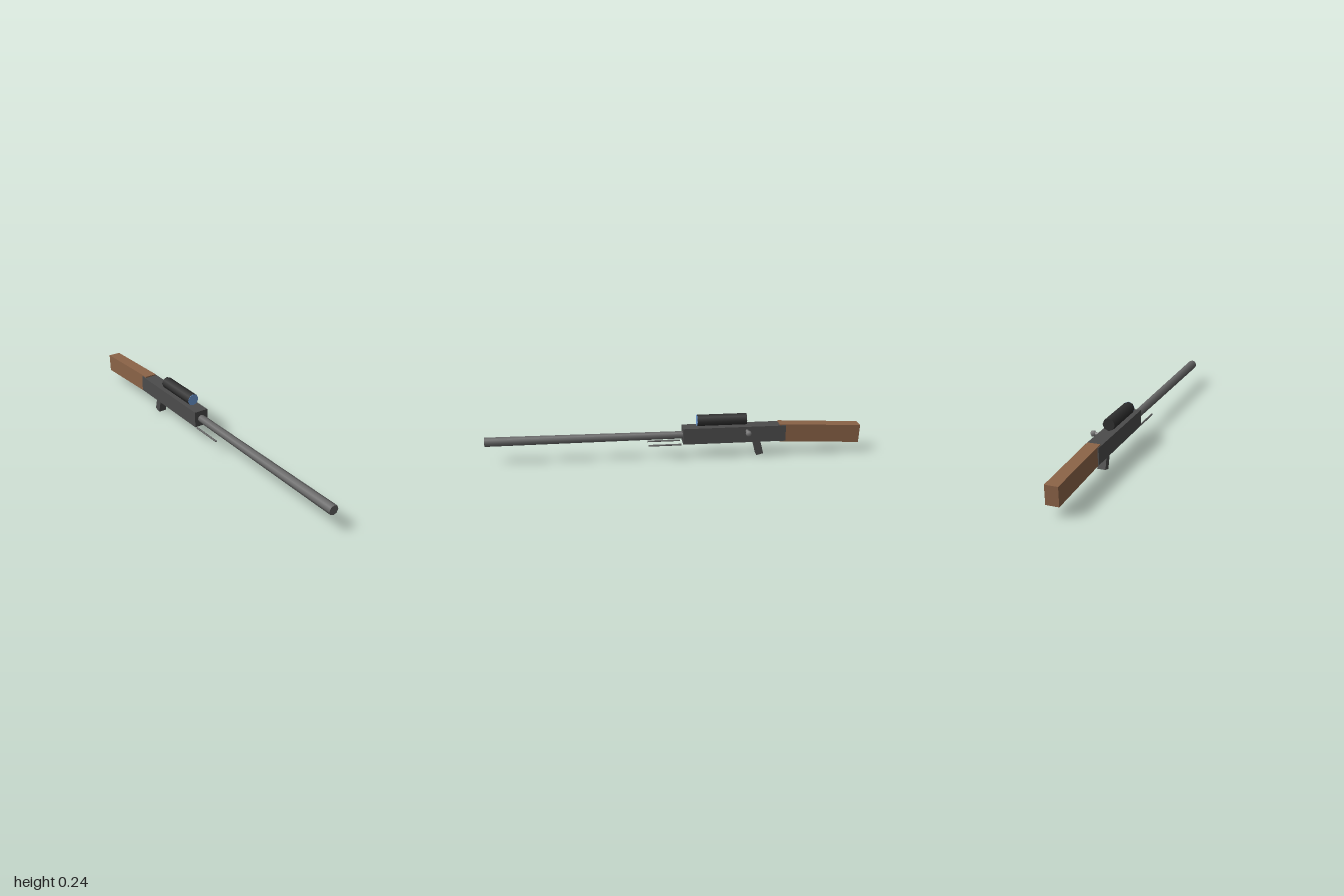
import * as THREE from 'three';

const CX = -0.031; // centre line of the body; the bolt handle sticks out to +x

export function createModel() {
  const model = new THREE.Group();
  const mat = (color) => new THREE.MeshStandardMaterial({ color });
  const steel = mat(0x666666), dark = mat(0x4c4c4c), black = mat(0x2e2e2e);
  const bright = mat(0x777777), wood = mat(0x8b6347), glass = mat(0x6f9fdc);

  const add = (name, geometry, material, x, y, z, tilt = 0) => {
    const mesh = new THREE.Mesh(geometry, material);
    mesh.name = name;
    mesh.position.set(x, y, z);
    mesh.rotation.x = tilt;
    model.add(mesh);
    return mesh;
  };
  // Cylinder lying along z, from back to front
  const rod = (name, material, rFront, rBack, x, y, back, front, sides = 8) =>
    add(name, new THREE.CylinderGeometry(rFront, rBack, front - back, sides),
      material, x, y, (front + back) / 2, Math.PI / 2);

  // Body, stock and grip
  add('receiver', new THREE.BoxGeometry(0.077, 0.087, 0.553), dark, CX, 0.127, -0.313);
  add('stock', new THREE.BoxGeometry(0.066, 0.097, 0.443), wood, CX, 0.117, -0.777, -0.05);
  add('grip', new THREE.BoxGeometry(0.043, 0.1, 0.038), dark, CX, 0.053, -0.444, 0.25);

  // Barrel, slightly wider at the muzzle
  rod('barrel', steel, 0.026, 0.021, CX, 0.126, -0.06, 1);

  // Scope with its front lens
  rod('scope', black, 0.032, 0.032, CX, 0.204, -0.379, -0.114);
  rod('lens', glass, 0.032, 0.032, CX, 0.204, -0.114, -0.112);

  // Bolt handle and knob
  const bolt = add('boltHandle', new THREE.CylinderGeometry(0.009, 0.009, 0.05, 8), bright, 0.022, 0.148, -0.379);
  bolt.rotation.z = Math.PI / 2;
  add('boltKnob', new THREE.SphereGeometry(0.017, 6, 4), bright, 0.05, 0.148, -0.379);

  // Folded support legs on both sides
  for (const side of [-1, 1])
    rod('supportLeg', steel, 0.005, 0.005, CX + side * 0.033, 0.083, -0.028, 0.149, 6);

  return model;
}
